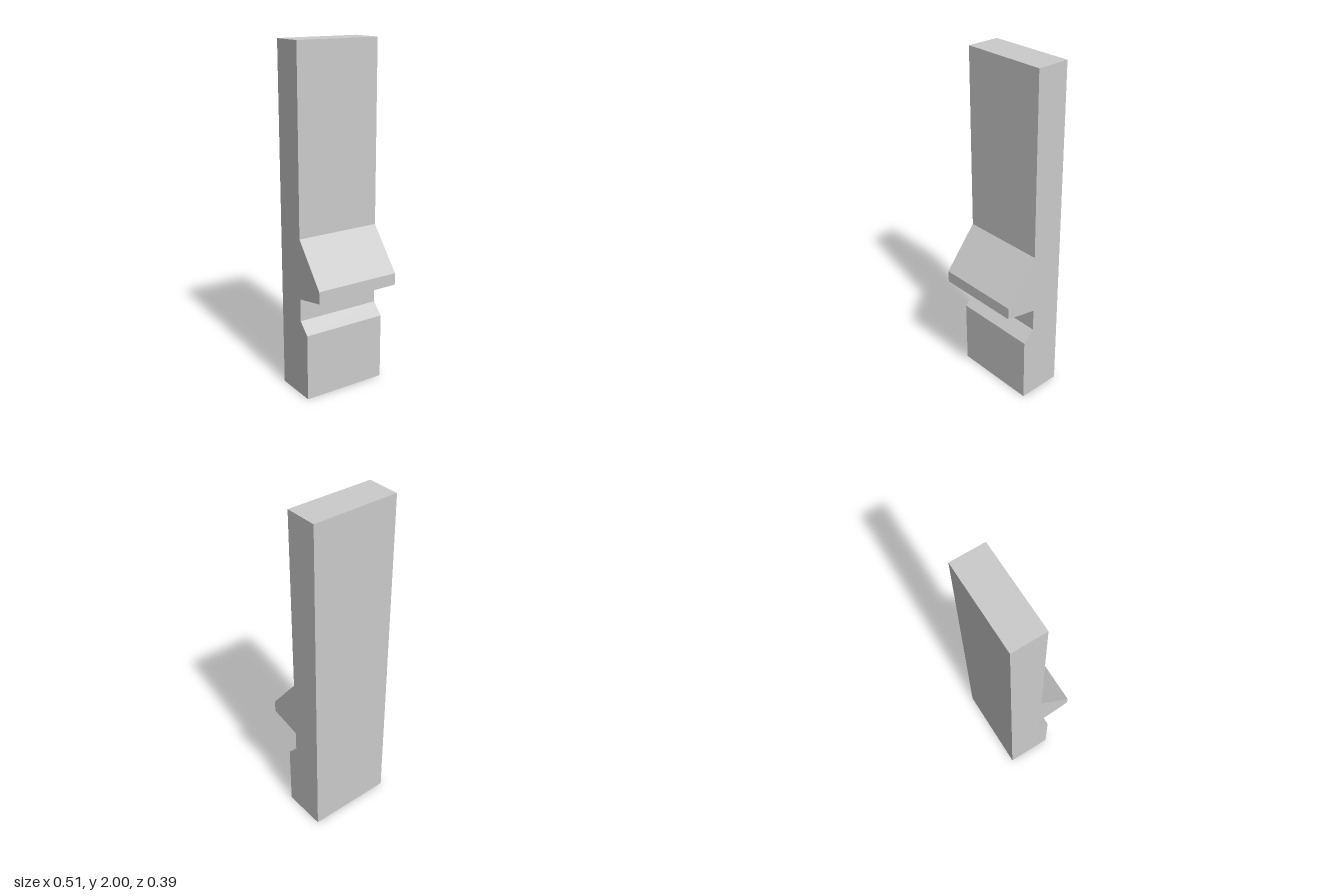
import * as THREE from 'three';

const WIDTH = 0.512;

// Side profile as [z, y], running up the front from the bottom back edge
const PROFILE = [
  [-0.195, 0], [0.068, 0], [0.068, 0.393],   // foot
  [0, 0.46], [0, 0.592],                     // groove
  [0.195, 0.63], [0.195, 0.70], [0, 0.943],  // wedge-shaped lip
  [0, 2], [-0.195, 2],                       // upright slab
];

export function createModel() {
  const group = new THREE.Group();
  group.name = 'mouldedPanel';

  const shape = new THREE.Shape(PROFILE.map(([z, y]) => new THREE.Vector2(z, y)));
  const geometry = new THREE.ExtrudeGeometry(shape, { depth: WIDTH, bevelEnabled: false });
  geometry.translate(0, 0, -WIDTH / 2);
  geometry.rotateY(-Math.PI / 2); // profile x becomes z, extrusion runs along x

  const panel = new THREE.Mesh(
    geometry,
    new THREE.MeshStandardMaterial({ color: 0xcccccc, flatShading: true })
  );
  panel.name = 'panel';
  group.add(panel);
  return group;
}
